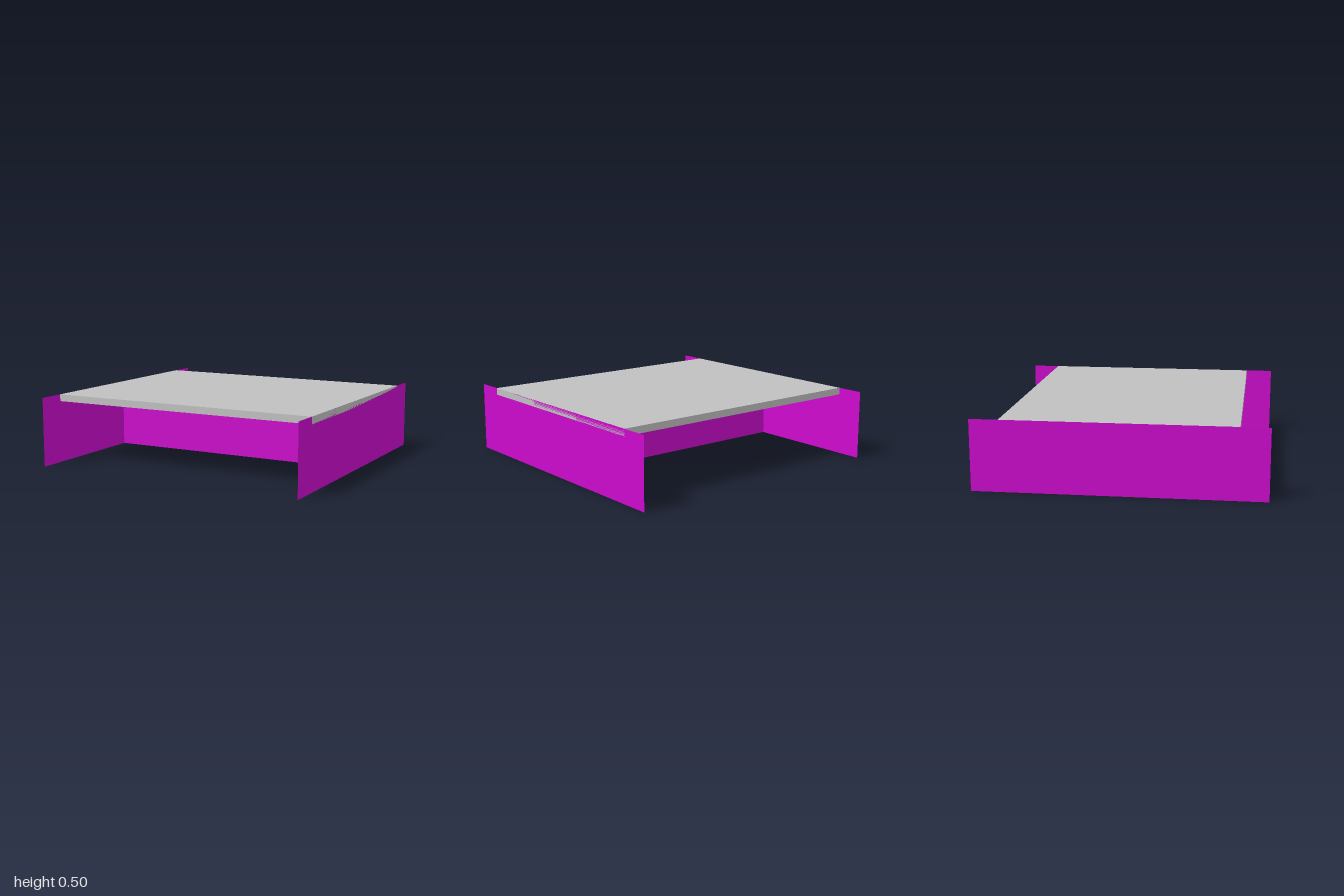
import * as THREE from 'three';

export function createModel() {
  const model = new THREE.Group();
  model.name = 'table';

  const magenta = new THREE.MeshStandardMaterial({ color: 0xcc0acc, side: THREE.DoubleSide });
  magenta.name = 'magenta panel';
  const grey = new THREE.MeshStandardMaterial({ color: 0xc0c0c0 });
  grey.name = 'light grey top';

  // Paper-thin upright panel, 2 wide and 0.5 high, standing on the ground
  const panelGeometry = new THREE.PlaneGeometry(2, 0.5);
  const addPanel = (name, x, turn) => {
    const panel = new THREE.Mesh(panelGeometry, magenta);
    panel.name = name;
    panel.position.set(x, 0.25, 0);
    panel.rotation.y = turn;
    model.add(panel);
  };

  // End panels facing outwards, and the stretcher panel between them
  addPanel('leftEndPanel', 1, Math.PI / 2);
  addPanel('rightEndPanel', -1, -Math.PI / 2);
  addPanel('centrePanel', 0, 0);

  // Table top
  const top = new THREE.Mesh(new THREE.BoxGeometry(2, 0.05, 1.6), grey);
  top.name = 'tableTop';
  top.position.y = 0.475;
  model.add(top);

  return model;
}
